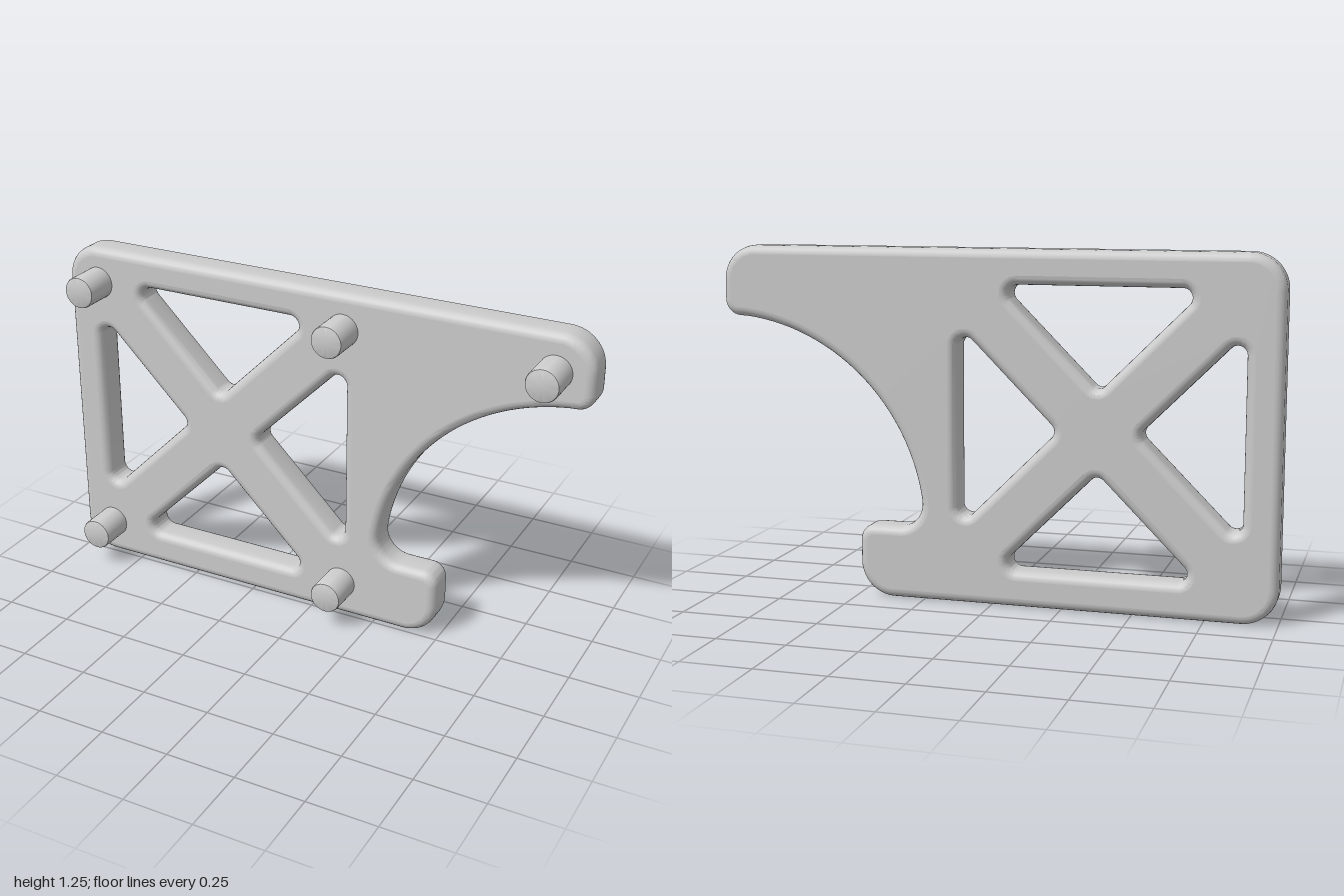
import * as THREE from 'three';
import { toCreasedNormals } from 'three/addons/utils/BufferGeometryUtils.js';

const DEPTH = 0.125;
const BEVEL = 0.032;

// Closed polygon of [x, y, r] corners; each corner is rounded with radius r
function roundedPolygon(path, corners) {
  const n = corners.length;
  corners.forEach(([x, y, r], i) => {
    const p = new THREE.Vector2(x, y);
    if (!r) { path.lineTo(x, y); return; }
    const u = new THREE.Vector2(...corners[(i + n - 1) % n].slice(0, 2)).sub(p).normalize();
    const v = new THREE.Vector2(...corners[(i + 1) % n].slice(0, 2)).sub(p).normalize();
    const half = Math.acos(THREE.MathUtils.clamp(u.dot(v), -1, 1)) / 2;
    const t = r / Math.tan(half);
    const c = u.clone().add(v).normalize().multiplyScalar(r / Math.sin(half)).add(p);
    const a = u.multiplyScalar(t).add(p).sub(c);
    const b = v.multiplyScalar(t).add(p).sub(c);
    path.absarc(c.x, c.y, r, a.angle(), b.angle(), a.cross(b) < 0);
  });
  return path;
}

function plateShape() {
  // Large quarter-circle cut-out on the model's left
  const sweep = [];
  const steps = 28;
  for (let i = 0; i <= steps; i++) {
    const a = THREE.MathUtils.degToRad(THREE.MathUtils.lerp(171, 96, i / steps));
    sweep.push([1 + 0.75 * Math.cos(a), 0.25 + 0.75 * Math.sin(a), 0]);
  }
  const shape = roundedPolygon(new THREE.Shape(), [
    [-1, 0, 0.125], [0.49, 0, 0.125], [0.49, 0.26, 0.055], [0.25, 0.26, 0.085],
    ...sweep,
    [1, 1, 0.06], [1, 1.25, 0.125], [-1, 1.25, 0.125],
  ]);

  // Four triangular windows around the diagonal cross
  const near = 0.14, far = 0.5, r = 0.032;
  for (let i = 0; i < 4; i++) {
    const corners = [[near, 0], [far, far - near], [far, near - far]].map(([x, y]) => {
      const q = new THREE.Vector2(x, y).rotateAround(new THREE.Vector2(), i * Math.PI / 2);
      return [q.x - 0.375, q.y + 0.628, r];
    });
    shape.holes.push(roundedPolygon(new THREE.Path(), corners));
  }
  return shape;
}

function plateGeometry() {
  const raw = new THREE.ExtrudeGeometry(plateShape(), {
    depth: DEPTH - 2 * BEVEL, curveSegments: 10,
    bevelSize: BEVEL, bevelThickness: BEVEL, bevelOffset: -BEVEL, bevelSegments: 5,
  });
  raw.translate(0, 0, BEVEL - DEPTH);
  const geo = toCreasedNormals(raw, 0.6);
  // Keep the two broad faces perfectly flat
  const pos = geo.attributes.position, nor = geo.attributes.normal;
  for (let i = 0; i < pos.count; i += 3) {
    const z = [0, 1, 2].map((k) => pos.getZ(i + k));
    const front = z.every((v) => v > -1e-4);
    const back = z.every((v) => v < -DEPTH + 1e-4);
    if (front || back) for (let k = 0; k < 3; k++) nor.setXYZ(i + k, 0, 0, front ? 1 : -1);
  }
  return geo;
}

// Round peg pointing forwards, with a softened rim
function pegGeometry() {
  const R = 0.058, e = 0.008;
  const profile = [[R, -0.02], [R, DEPTH - e], [R - e * 0.3, DEPTH - e * 0.3], [R - e, DEPTH], [0, DEPTH]]
    .map(([x, y]) => new THREE.Vector2(x, y));
  const geo = new THREE.LatheGeometry(profile, 40).rotateX(Math.PI / 2);
  return toCreasedNormals(geo, 0.5);
}

export function createModel() {
  const group = new THREE.Group();
  group.name = 'bracket';
  const material = new THREE.MeshStandardMaterial({ color: 0xcccccc });

  const plate = new THREE.Mesh(plateGeometry(), material);
  plate.name = 'plate';
  group.add(plate);

  const pegs = new THREE.Group();
  pegs.name = 'pegs';
  const pegGeo = pegGeometry();
  for (const [x, y] of [[-0.87, 1.12], [0.117, 1.12], [0.867, 1.12], [-0.87, 0.133], [0.117, 0.133]]) {
    const peg = new THREE.Mesh(pegGeo, material);
    peg.name = 'peg';
    peg.position.set(x, y, 0);
    pegs.add(peg);
  }
  group.add(pegs);
  return group;
}
